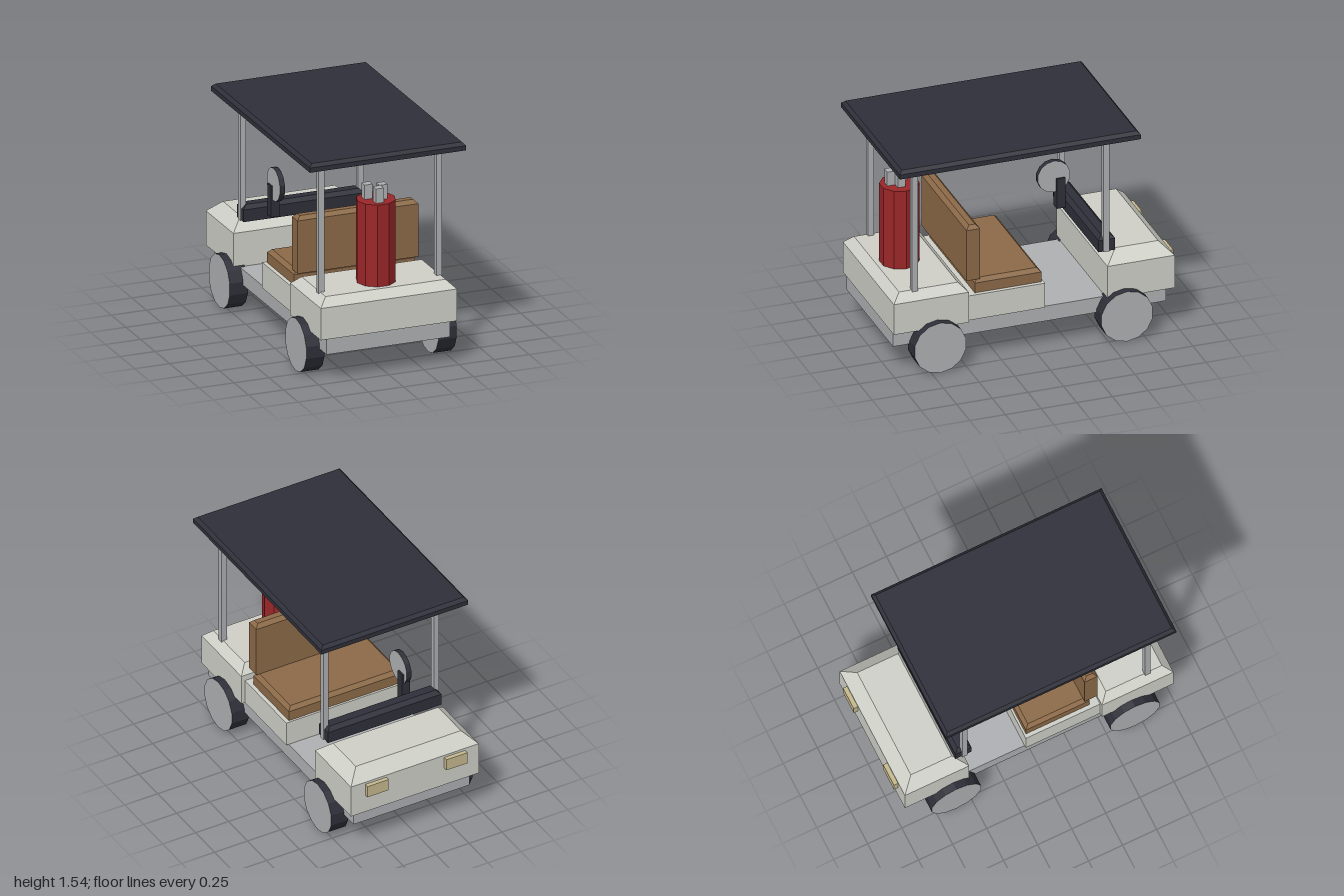
import * as THREE from 'three';

const mat = (name, color) => {
  const m = new THREE.MeshStandardMaterial({ color, flatShading: true });
  m.name = name;
  return m;
};

export function createModel() {
  const cart = new THREE.Group();
  cart.name = 'utilityCart';

  const cream = mat('creamBody', 0xcfd0c8);
  const grey = mat('greyMetal', 0xaeb0b3);
  const dark = mat('darkTrim', 0x2f2f3a);
  const brown = mat('brownSeat', 0x8c6a48);
  const red = mat('redBag', 0x9a2628);
  const lamp = mat('lampYellow', 0xc6b98f);

  const add = (name, geometry, material, x = 0, y = 0, z = 0) => {
    const mesh = new THREE.Mesh(geometry, material);
    mesh.name = name;
    mesh.position.set(x, y, z);
    cart.add(mesh);
    return mesh;
  };

  // Box between bounds; a bevel insets the top rim on all four sides
  const block = (name, material, [x0, x1], [y0, y1], [z0, z1], inset = 0, bevel = 0) => {
    const w = x1 - x0, h = y1 - y0, d = z1 - z0;
    const g = new THREE.BoxGeometry(w, h, d, 1, inset ? 2 : 1, 1);
    if (inset) {
      const p = g.attributes.position;
      for (let i = 0; i < p.count; i++) {
        const y = p.getY(i);
        if (Math.abs(y) < 1e-6) p.setY(i, h / 2 - bevel);
        else if (y > 0) {
          p.setX(i, Math.sign(p.getX(i)) * (w / 2 - inset));
          p.setZ(i, Math.sign(p.getZ(i)) * (d / 2 - inset));
        }
      }
      g.computeVertexNormals();
    }
    return add(name, g, material, (x0 + x1) / 2, (y0 + y1) / 2, (z0 + z1) / 2);
  };

  // Disc on the x axis with a dark rim and grey faces
  const disc = (name, radius, width, x, y, z) => {
    const g = new THREE.CylinderGeometry(radius, radius, width, 14);
    g.rotateZ(Math.PI / 2);
    // a corner points straight down
    g.rotateX(Math.PI / 2);
    return add(name, g, [dark, grey, grey], x, y, z);
  };

  // Chassis and body
  block('chassis', grey, [-0.44, 0.44], [0.2, 0.31], [-0.925, 0.99]);
  block('rearBody', cream, [-0.485, 0.485], [0.31, 0.59], [0.475, 1], 0.057, 0.057);
  block('frontBody', cream, [-0.485, 0.485], [0.31, 0.633], [-0.97, -0.498], 0.086, 0.083);
  block('seatBase', cream, [-0.458, 0.458], [0.31, 0.49], [-0.07, 0.475]);

  // Bench seat
  block('seatCushion', brown, [-0.43, 0.43], [0.49, 0.588], [-0.055, 0.412], 0.026, 0.026);
  block('seatBack', brown, [-0.43, 0.43], [0.588, 0.985], [0.375, 0.47], 0.026, 0.026);

  // Dashboard and steering
  block('dashboard', dark, [-0.43, 0.43], [0.636, 0.747], [-0.572, -0.455], 0.028, 0.026);
  block('steeringColumn', dark, [-0.26, -0.2], [0.665, 0.885], [-0.455, -0.395]);
  disc('steeringWheel', 0.115, 0.036, -0.231, 0.9, -0.38);

  // Roof and its four posts
  block('roof', dark, [-0.557, 0.557], [1.49, 1.545], [-0.705, 0.985], 0.022, 0.022);
  for (const s of [-1, 1]) {
    const px = s < 0 ? [-0.44, -0.4] : [0.4, 0.44];
    block('rearPost', grey, px, [0.58, 1.495], [0.813, 0.855]);
    block('frontPost', grey, px, [0.636, 1.495], [-0.527, -0.487]);

    // Headlights
    block('headlight', lamp, s < 0 ? [-0.382, -0.222] : [0.216, 0.376], [0.447, 0.533], [-1, -0.965]);

    // Wheels
    disc('rearWheel', 0.184, 0.13, s * 0.471, 0.184, 0.693);
    disc('frontWheel', 0.184, 0.13, s * 0.471, 0.184, -0.617);
  }

  // Ten-sided bag on the rear deck, with three club heads
  const bag = new THREE.CylinderGeometry(0.133, 0.133, 0.575, 10);
  bag.rotateY(Math.PI / 2);
  add('bag', bag, red, -0.002, 0.876, 0.782);
  for (const [x, z] of [[-0.052, 0.748], [-0.011, 0.846], [0.037, 0.79]]) {
    block('clubHead', grey, [x - 0.028, x + 0.028], [1.16, 1.265], [z - 0.028, z + 0.028]);
  }

  return cart;
}
